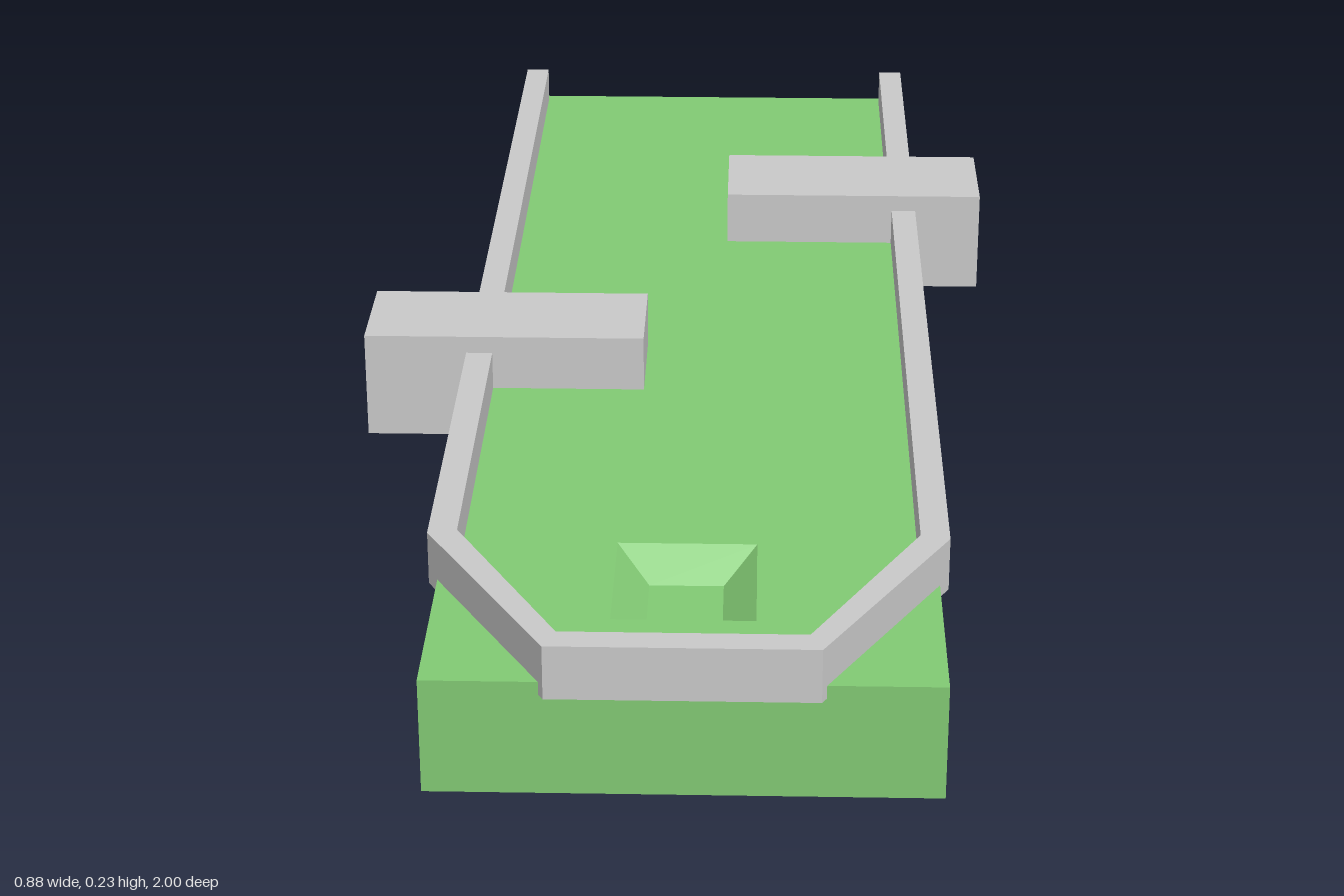
import * as THREE from 'three';

const green = new THREE.MeshStandardMaterial({ color: 0x82ca74 });
green.name = 'turf green';
const grey = new THREE.MeshStandardMaterial({ color: 0xc9c9c9 });
grey.name = 'stone grey';

const points = (list) => list.map(([x, z]) => new THREE.Vector2(x, z));

// Extrudes a plan outline (x, z) downwards from the given top height
function slab(shape, top, depth) {
  const g = new THREE.ExtrudeGeometry(shape, { depth, bevelEnabled: false });
  return g.rotateX(Math.PI / 2).translate(0, top, 0);
}

function box(x0, x1, y0, y1, z0, z1) {
  return new THREE.BoxGeometry(x1 - x0, y1 - y0, z1 - z0)
    .translate((x0 + x1) / 2, (y0 + y1) / 2, (z0 + z1) / 2);
}

const rect = (x0, x1, z0, z1) => points([[x0, z0], [x1, z0], [x1, z1], [x0, z1]]);

export function createModel() {
  const group = new THREE.Group();
  const add = (name, geometry, material) => {
    const mesh = new THREE.Mesh(geometry, material);
    mesh.name = name;
    group.add(mesh);
  };

  // Turf: solid base plus a top layer with an opening for the cup
  const top = 0.15, cupDepth = 0.035;
  const x0 = -0.287, x1 = 0.328, z0 = -1, z1 = 0.99;
  const cup = { x: 0.017, z: 0.743, w: 0.175, l: 0.195 };
  add('turfBase', box(x0, x1, 0, top - cupDepth, z0, z1), green);
  const turf = new THREE.Shape(rect(x0, x1, z0, z1));
  turf.holes.push(new THREE.Path(rect(
    cup.x - cup.w / 2, cup.x + cup.w / 2, cup.z - cup.l / 2, cup.z + cup.l / 2)));
  add('turfTop', slab(turf, top, cupDepth), green);

  // Sloping cup walls: a four-sided funnel mirrored to face inwards
  const funnel = new THREE.CylinderGeometry(Math.SQRT1_2, Math.SQRT1_2 * 0.53, cupDepth, 4, 1, true)
    .rotateY(Math.PI / 4)
    .scale(-cup.w, 1, cup.l)
    .translate(cup.x, top - cupDepth / 2, cup.z)
    .toNonIndexed();
  funnel.computeVertexNormals();
  add('cupWalls', funnel, green);

  // Kerb: one continuous rail, open at the back and chamfered at the front
  const mid = 0.02, back = -0.985;
  const outer = [[0.32, back], [0.32, 0.725], [0.161, 1]];
  const inner = [[0.147, 0.965], [0.284, 0.716], [0.284, back]];
  const half = [...outer, ...inner];
  const right = ([x, z]) => [mid + x, z];
  const left = ([x, z]) => [mid - x, z];
  const kerb = new THREE.Shape(points([
    ...half.slice(0, 3).map(right),
    ...half.slice(0, 3).reverse().map(left),
    ...half.slice(3).reverse().map(left),
    ...half.slice(3).map(right),
  ]));
  add('kerb', slab(kerb, 0.203, 0.07), grey);

  // Obstacle blocks straddling the kerb
  add('leftObstacle', box(0.053, 0.438, 0.078, 0.227, -0.518, -0.348), grey);
  add('rightObstacle', box(-0.44, -0.055, 0.078, 0.227, 0.037, 0.193), grey);

  return group;
}
